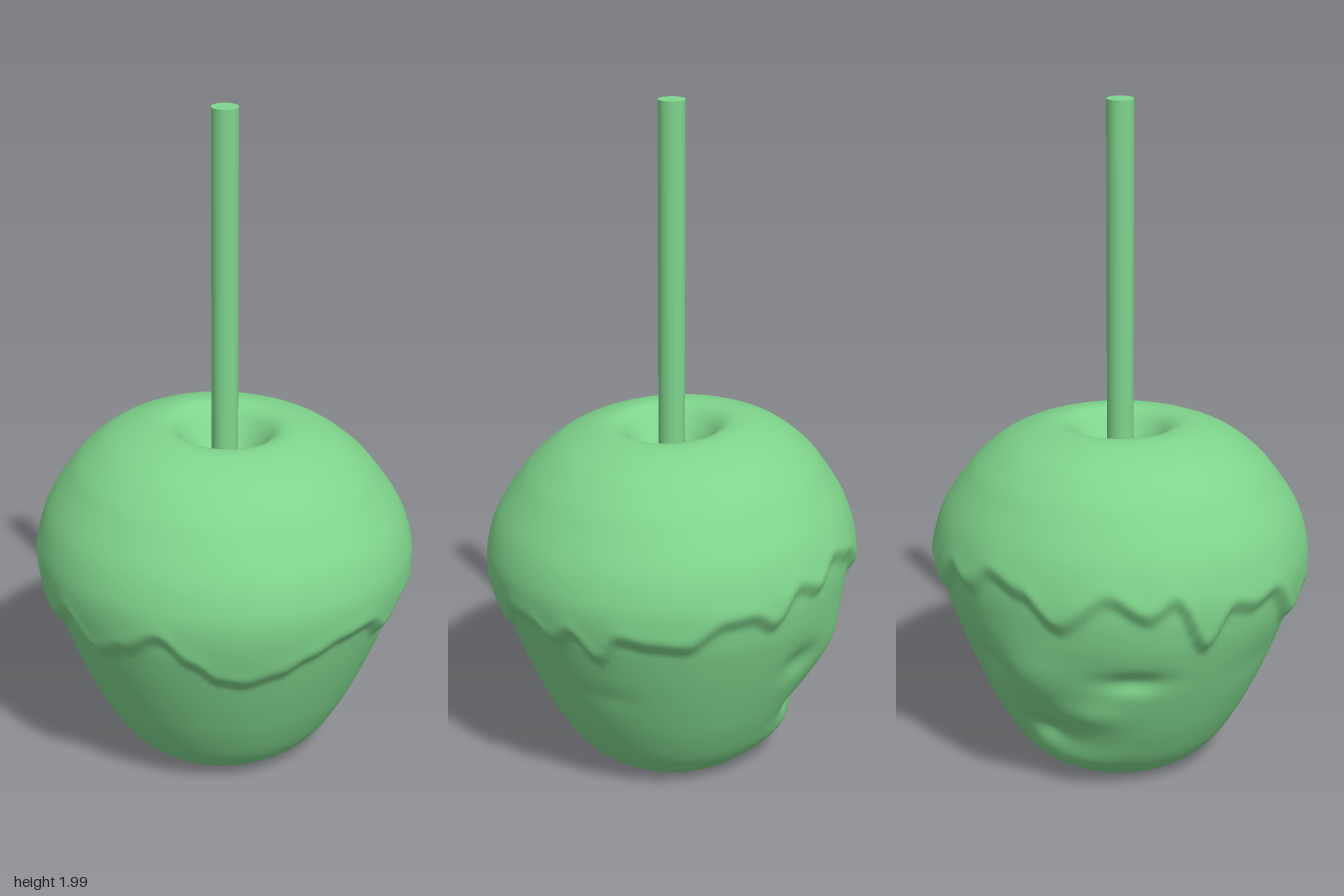
import * as THREE from 'three';
import { mergeVertices } from 'three/addons/utils/BufferGeometryUtils.js';

const green = new THREE.MeshStandardMaterial({ color: 0x7fd48c });

// Bare apple silhouette [radius, height], bottom hollow to top hollow
const PROFILE = [
  [0, 0.055], [0.07, 0.048], [0.13, 0.025], [0.185, 0.01], [0.25, 0.032], [0.32, 0.1],
  [0.382, 0.2], [0.43, 0.3], [0.472, 0.4], [0.505, 0.49], [0.526, 0.56], [0.538, 0.64],
  [0.533, 0.71], [0.502, 0.8], [0.436, 0.9], [0.392, 0.95], [0.326, 1.005], [0.25, 1.041],
  [0.19, 1.052], [0.15, 1.038], [0.115, 1], [0.078, 0.957], [0.04, 0.93], [0, 0.92],
];

// Lower rim of the dipped coat [azimuth in degrees from +z towards +x, height]
const DRIPS = [
  [-180, 0.69], [-168, 0.61], [-153, 0.7], [-141, 0.645], [-133, 0.69], [-123, 0.54],
  [-114, 0.65], [-106, 0.63], [-97, 0.65], [-83, 0.53], [-72, 0.59], [-60, 0.5],
  [-49, 0.55], [-37, 0.61], [-27, 0.53], [-19, 0.47], [-11, 0.455], [0, 0.48],
  [10, 0.525], [20, 0.56], [32, 0.57], [42, 0.51], [51, 0.58], [60, 0.58], [68, 0.54],
  [76, 0.585], [84, 0.51], [92, 0.59], [101, 0.575], [112, 0.565], [124, 0.635],
  [133, 0.64], [140, 0.6], [150, 0.69], [158, 0.66], [168, 0.72], [180, 0.69],
];

// Dents and lumps [azimuth, height, angular width, vertical width, push]
const LUMPS = [
  [178, 0.22, 10, 0.04, -0.024], [-145, 0.43, 11, 0.035, -0.024], [160, 0.42, 8, 0.05, -0.02],
  [178, 0.42, 16, 0.11, 0.028], [-176, 0.11, 22, 0.06, 0.022], [-160, 0.3, 12, 0.05, 0.014],
  [85, 0.36, 12, 0.04, -0.004], [-95, 0.42, 14, 0.05, -0.004],
];

function rimHeight(deg) {
  const i = Math.max(1, DRIPS.findIndex((d) => d[0] >= deg));
  const [a, ya] = DRIPS[i - 1], [b, yb] = DRIPS[i];
  return THREE.MathUtils.lerp(ya, yb, THREE.MathUtils.smoothstep(deg, a, b));
}

function appleGeometry() {
  const curve = new THREE.SplineCurve(PROFILE.map(([r, y]) => new THREE.Vector2(r, y)));
  const outline = curve.getSpacedPoints(170);
  outline[0].x = outline[170].x = 0;
  let geo = new THREE.LatheGeometry(outline, 200);
  geo.deleteAttribute('uv');
  geo.deleteAttribute('normal');
  geo = mergeVertices(geo, 1e-5);

  const pos = geo.attributes.position;
  for (let i = 0; i < pos.count; i++) {
    const x = pos.getX(i), y = pos.getY(i), z = pos.getZ(i);
    const r = Math.hypot(x, z);
    if (r < 1e-4) continue;
    const deg = THREE.MathUtils.radToDeg(Math.atan2(x, z));

    // Raised coat with a soft, dripping rim
    const above = y - rimHeight(deg);
    const coat = THREE.MathUtils.smoothstep(above, -0.03, 0.035);
    const rim = Math.exp(-(((above - 0.025) / 0.035) ** 2));
    let push = THREE.MathUtils.smoothstep(r, 0.15, 0.42) * (0.023 * coat + 0.004 * rim);

    // Uneven skin
    for (const [a, h, wa, wh, amount] of LUMPS) {
      const da = ((deg - a + 540) % 360) - 180;
      if (r > 0.2 && y < 0.8) push += amount * Math.exp(-((da / wa) ** 2) - ((y - h) / wh) ** 2);
    }

    // Slightly leaning top and base
    const k = (r + push) / r;
    const lean = THREE.MathUtils.smoothstep(y, 0.5, 1) * (-0.03 * x - 0.035 * z)
      + THREE.MathUtils.smoothstep(0.5 - y, 0, 0.5) * 0.02 * z;
    pos.setXYZ(i, x * k, y + lean, z * k * 0.975);
  }
  geo.computeVertexNormals();
  return geo;
}

export function createModel() {
  const group = new THREE.Group();
  group.name = 'dippedApple';

  const apple = new THREE.Mesh(appleGeometry(), green);
  apple.name = 'coatedApple';

  // Stick standing in the top hollow
  const stick = new THREE.Mesh(new THREE.CylinderGeometry(0.039, 0.039, 1.1, 32), green);
  stick.name = 'stick';
  stick.position.y = 1.45;

  group.add(apple, stick);
  return group;
}
